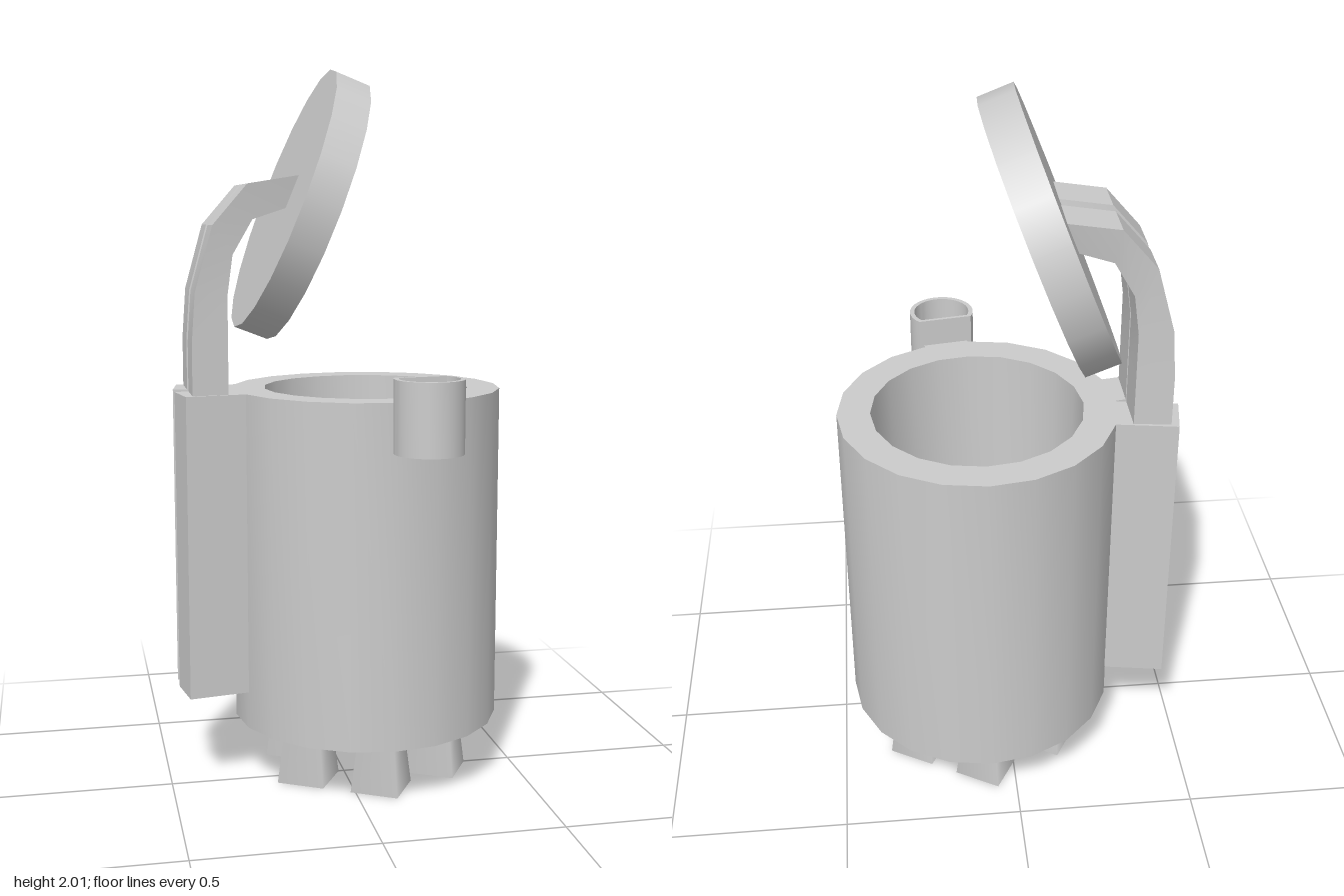
import * as THREE from 'three';
import { toCreasedNormals } from 'three/addons/utils/BufferGeometryUtils.js';

const material = new THREE.MeshStandardMaterial({ color: 0xcccccc });

function add(parent, name, geometry, x = 0, y = 0, z = 0) {
  const mesh = new THREE.Mesh(geometry, material);
  mesh.name = name;
  mesh.position.set(x, y, z);
  parent.add(mesh);
  return mesh;
}

// Curved lid arm: outer and inner edge in x/y, swept with a slightly skewed section
function armGeometry(side) {
  const outer = [[-0.51, 1.1], [-0.51, 1.26], [-0.5, 1.4], [-0.45, 1.58], [-0.355, 1.69], [-0.2, 1.715]];
  const inner = [[-0.41, 1.1], [-0.41, 1.235], [-0.41, 1.39], [-0.395, 1.5], [-0.34, 1.595], [-0.22, 1.635]];
  const geo = new THREE.BoxGeometry(1, 1, 1, 1, outer.length - 1, 1);
  const p = geo.attributes.position;
  for (let i = 0; i < p.count; i++) {
    const step = Math.round((p.getY(i) + 0.5) * (outer.length - 1));
    const isOuter = p.getX(i) < 0;
    const [x, y] = (isOuter ? outer : inner)[step];
    p.setXYZ(i, x, y, side * (isOuter ? 0.0785 : 0.0645) + p.getZ(i) * 0.117);
  }
  return toCreasedNormals(geo, 0.2);
}

// Circle with one flat side facing the body
function flatSided(path, radius, flat) {
  const a = Math.asin(flat / radius);
  path.absarc(0, 0, radius, Math.PI - a, 2 * Math.PI + a, false);
  path.closePath();
  return path;
}

function extrudeUp(shape, height) {
  const geo = new THREE.ExtrudeGeometry(shape, { depth: height, bevelEnabled: false, curveSegments: 16 });
  geo.rotateX(-Math.PI / 2);
  return toCreasedNormals(geo, 0.6);
}

export function createModel() {
  const model = new THREE.Group();
  model.name = 'liddedCanister';
  const can = new THREE.Group();
  can.name = 'canister';
  can.position.set(0.08, 0, -0.083);
  model.add(can);

  // Hollow body
  const profile = [[0, 0.165], [0.383, 0.165], [0.383, 1.12], [0.292, 1.12], [0.279, 0.26], [0, 0.26]];
  const body = new THREE.LatheGeometry(profile.map(([x, y]) => new THREE.Vector2(x, y)), 20);
  add(can, 'body', toCreasedNormals(body, 0.6));

  // Six tapered square feet, all turned the same way
  const foot = new THREE.CylinderGeometry(0.072, 0.097, 0.17, 4);
  for (let i = 0; i < 6; i++) {
    const a = (i * Math.PI) / 3;
    add(can, 'foot', foot, Math.sin(a) * 0.219, 0.085, Math.cos(a) * 0.219).rotation.y = Math.PI / 12;
  }

  // Hinge posts and the arms that carry the lid
  for (const side of [-1, 1]) {
    const mount = new THREE.Group();
    mount.name = 'hingePostMount';
    mount.rotation.y = side * 0.165;
    can.add(mount);
    add(mount, 'hingePost', new THREE.BoxGeometry(0.207, 0.85, 0.122), -0.4435, 0.695, 0);
    add(can, 'lidArm', armGeometry(side));
  }

  // Raised lid
  const lid = add(can, 'lid', new THREE.CylinderGeometry(0.38, 0.38, 0.099, 20), -0.193, 1.633, 0);
  lid.rotation.z = 1.2;

  // Small open cup on the front, joined by a short neck
  const front = new THREE.Group();
  front.name = 'frontCup';
  front.rotation.y = 0.155;
  can.add(front);
  const wall = flatSided(new THREE.Shape(), 0.093, 0.052);
  wall.holes.push(flatSided(new THREE.Path(), 0.08, 0.042));
  add(front, 'cupWall', extrudeUp(wall, 0.195), 0, 0.995, 0.455);
  add(front, 'cupFloor', extrudeUp(flatSided(new THREE.Shape(), 0.086, 0.047), 0.03), 0, 0.996, 0.455);
  add(front, 'cupNeck', new THREE.BoxGeometry(0.13, 0.11, 0.05), 0, 1.055, 0.383);

  return model;
}
